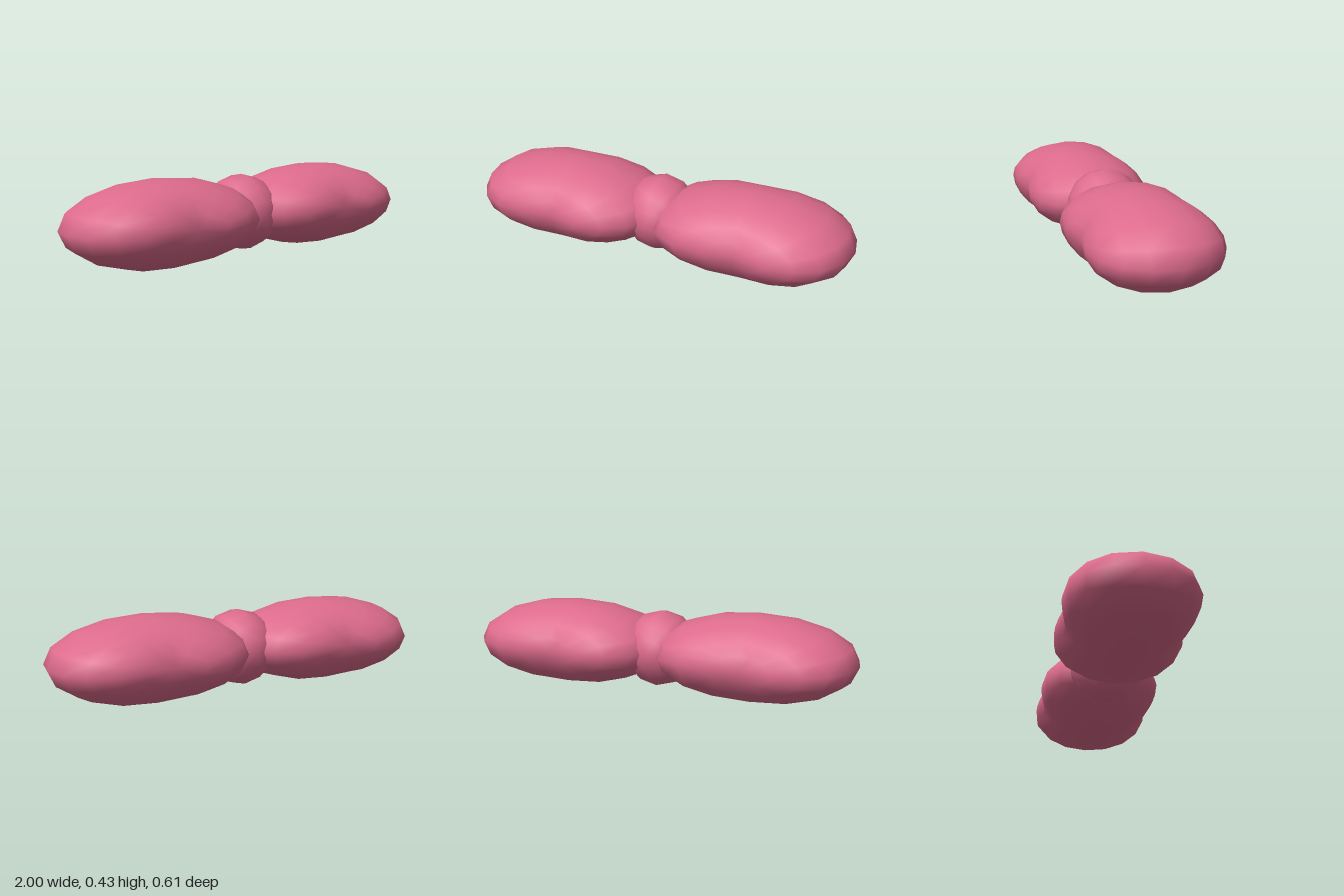
import * as THREE from 'three';
import { mergeVertices } from 'three/addons/utils/BufferGeometryUtils.js';

const CENTER_Y = 0.216;

// Unit sphere with its poles on the z axis
function zSphere(segments, rings) {
  return new THREE.SphereGeometry(1, segments, rings).rotateX(Math.PI / 2);
}

// Smooth normals across the seam after reshaping
function smooth(geometry) {
  geometry.deleteAttribute('uv');
  geometry.deleteAttribute('normal');
  const welded = mergeVertices(geometry, 1e-4);
  welded.computeVertexNormals();
  return welded;
}

// Flattened ellipsoid, pinched in depth across its middle
function lobeGeometry() {
  const geometry = zSphere(16, 10);
  const p = geometry.attributes.position;
  for (let i = 0; i < p.count; i++) {
    const x = p.getX(i);
    const depth = 0.28 + 0.14 * Math.abs(x);
    p.setXYZ(i, x * 0.51, p.getY(i) * 0.214, p.getZ(i) * depth);
  }
  return smooth(geometry);
}

export function createModel() {
  const group = new THREE.Group();
  group.name = 'bow';
  const pink = new THREE.MeshStandardMaterial({ name: 'rose pink', color: 0xdd6b8d });

  // Left and right loops of the bow
  const lobe = lobeGeometry();
  for (const side of [1, -1]) {
    const mesh = new THREE.Mesh(lobe, pink);
    mesh.name = side > 0 ? 'leftLoop' : 'rightLoop';
    mesh.position.set(side * 0.49, CENTER_Y, 0);
    group.add(mesh);
  }

  // Round knot in the middle
  const knot = new THREE.Mesh(smooth(zSphere(12, 8).scale(0.19, 0.193, 0.192)), pink);
  knot.name = 'knot';
  knot.position.y = CENTER_Y;
  group.add(knot);

  return group;
}
